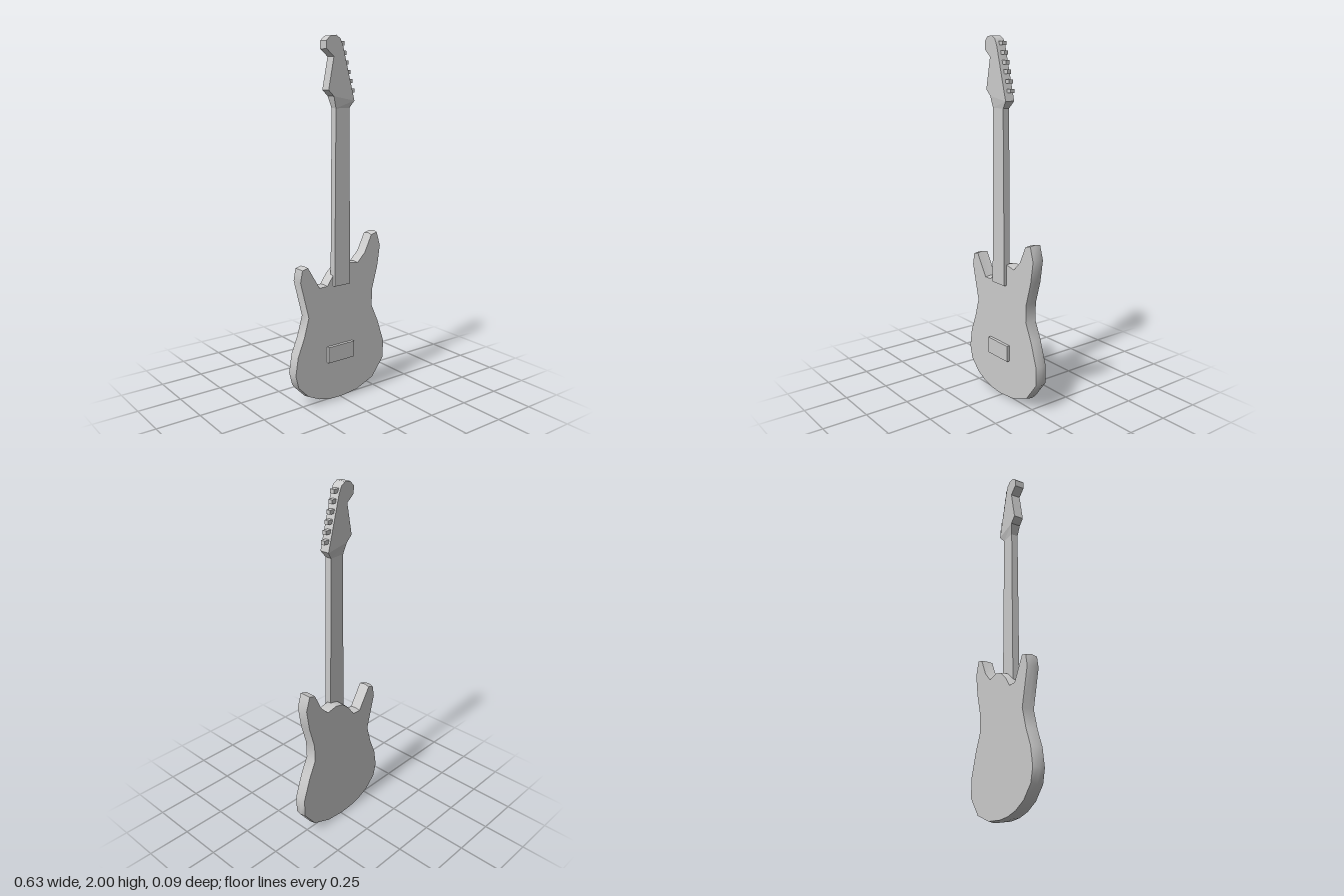
import * as THREE from 'three';
import { toCreasedNormals } from 'three/addons/utils/BufferGeometryUtils.js';

const material = new THREE.MeshStandardMaterial({ color: 0xcccccc });

function addMesh(parent, name, geometry) {
  const mesh = new THREE.Mesh(geometry, material);
  mesh.name = name;
  parent.add(mesh);
  return mesh;
}

function outline(points) {
  return new THREE.Shape(points.map(([x, y]) => new THREE.Vector2(x, y)));
}

// Six-sided bar between two end sections; each end is { left: [x, y], right: [x, y], z: [back, front] }
function taperedBar(bottom, top) {
  const geometry = new THREE.BoxGeometry(1, 1, 1).toNonIndexed();
  const p = geometry.attributes.position;
  for (let i = 0; i < p.count; i++) {
    const end = p.getY(i) > 0 ? top : bottom;
    const [x, y] = p.getX(i) > 0 ? end.right : end.left;
    p.setXYZ(i, x, y, end.z[p.getZ(i) > 0 ? 1 : 0]);
  }
  geometry.computeVertexNormals();
  return geometry;
}

// Solid body: extruded outline whose sides bulge slightly at mid depth
function bodyGeometry() {
  const points = [
    [0, 0.001], [0.115, 0.013], [0.232, 0.06], [0.313, 0.165], [0.313, 0.272],
    [0.268, 0.405], [0.222, 0.505], [0.225, 0.607], [0.261, 0.734], [0.28, 0.856],
    [0.255, 0.937], [0.215, 0.926], [0.168, 0.83], [0.115, 0.777], [0.05, 0.79],
    [-0.005, 0.777], [-0.055, 0.734], [-0.098, 0.675], [-0.151, 0.673],
    [-0.228, 0.8], [-0.264, 0.79], [-0.277, 0.723], [-0.225, 0.516], [-0.257, 0.405],
    [-0.298, 0.305], [-0.315, 0.2], [-0.296, 0.125], [-0.23, 0.058], [-0.155, 0.022],
    [-0.08, 0.005],
  ];
  const back = -0.045, depth = 0.067, mid = back + depth / 2;
  const geometry = new THREE.ExtrudeGeometry(outline(points), { depth, steps: 2, bevelEnabled: false });
  geometry.translate(0, 0, back);
  const p = geometry.attributes.position;
  for (let i = 0; i < p.count; i++) {
    if (Math.abs(p.getZ(i) - mid) < 0.01) continue;
    p.setX(i, p.getX(i) * 0.98);
    p.setY(i, 0.46 + (p.getY(i) - 0.46) * 0.988);
  }
  return toCreasedNormals(geometry, 0.75);
}

export function createModel() {
  const guitar = new THREE.Group();
  guitar.name = 'electricGuitar';

  addMesh(guitar, 'body', bodyGeometry());

  // Neck, then the flared joint that thickens into the headstock
  const neckZ = [-0.001, 0.038], headZ = [-0.012, 0.044];
  const neckTop = { left: [-0.049, 1.63], right: [0.039, 1.63], z: neckZ };
  const headLeft = [-0.066, 1.692], headRight = [0.068, 1.668];
  addMesh(guitar, 'neck', taperedBar({ left: [-0.058, 0.668], right: [0.048, 0.668], z: neckZ }, neckTop));
  addMesh(guitar, 'headJoint', taperedBar(neckTop, { left: headLeft, right: headRight, z: headZ }));

  // Headstock with a rounded scroll at the tip
  const head = new THREE.ExtrudeGeometry(outline([
    headLeft, headRight, [-0.008, 1.95], [-0.024, 1.983], [-0.05, 2], [-0.087, 1.996],
    [-0.112, 1.971], [-0.112, 1.93], [-0.066, 1.893], [-0.1, 1.724],
  ]), { depth: headZ[1] - headZ[0], bevelEnabled: false });
  head.translate(0, 0, headZ[0]);
  addMesh(guitar, 'headstock', toCreasedNormals(head, 0.75));

  // Six tuning pegs stepping down the slanted edge
  const pegs = new THREE.Group();
  pegs.name = 'tuningPegs';
  guitar.add(pegs);
  for (let i = 0; i < 6; i++) {
    const peg = addMesh(pegs, 'tuningPeg', new THREE.BoxGeometry(0.036, 0.021, 0.024));
    peg.position.set(-0.001 + i * 0.0136, 1.961 - i * 0.0482, 0.012);
  }

  // Bridge plate on the front of the body
  const bridge = addMesh(guitar, 'bridge', new THREE.BoxGeometry(0.176, 0.092, 0.03));
  bridge.position.set(-0.012, 0.279, 0.025);

  return guitar;
}
